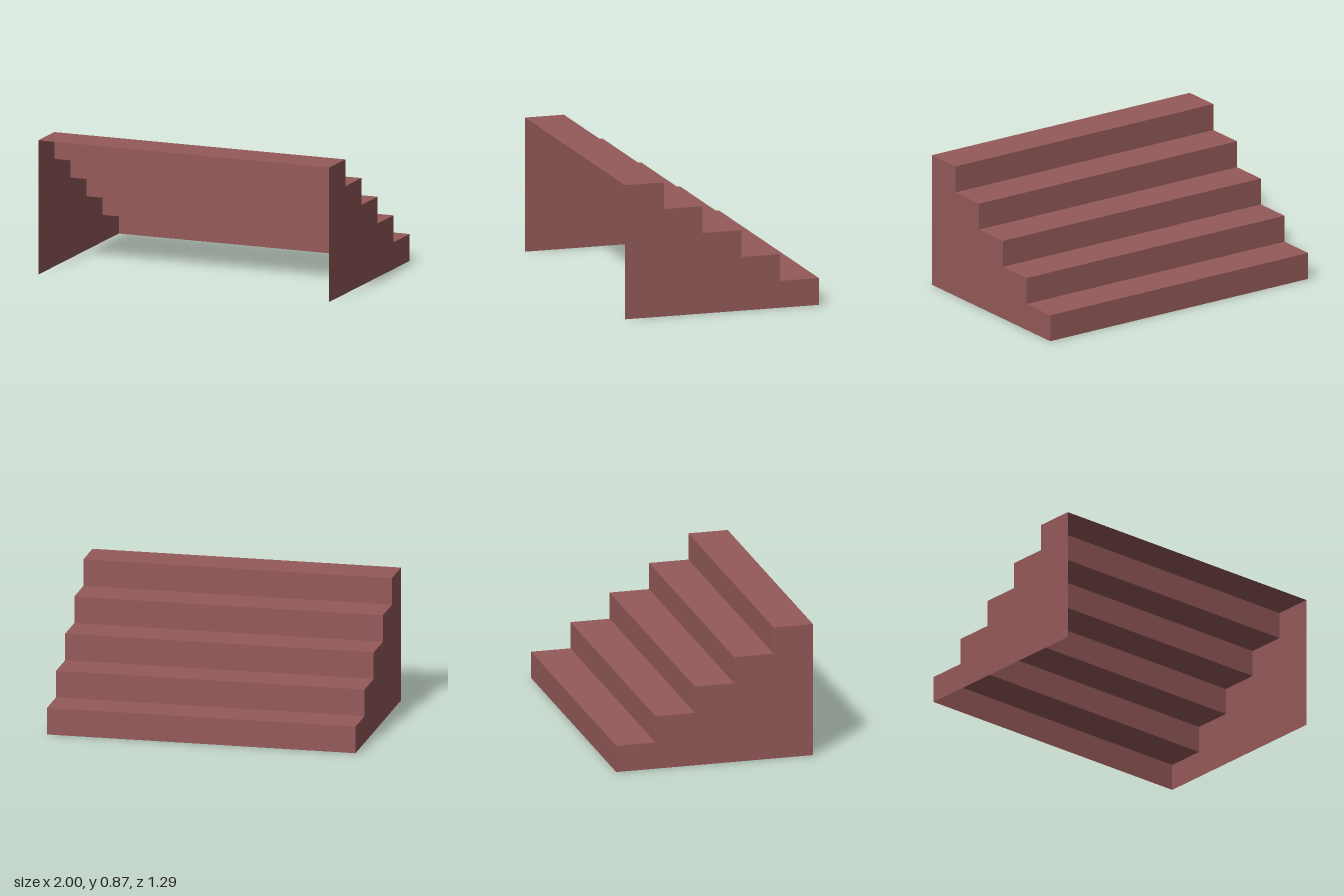
import * as THREE from 'three';

const STEPS = 5, WIDTH = 2, DEPTH = 1.29, HEIGHT = 0.87;
const RUN = DEPTH / STEPS, RISE = HEIGHT / STEPS;

export function createModel() {
  const group = new THREE.Group();
  group.name = 'staircase';
  const brick = new THREE.MeshStandardMaterial({ color: 0x965a5a, side: THREE.DoubleSide });
  brick.name = 'dusty red';

  const add = (name, geometry, x, y, z) => {
    const mesh = new THREE.Mesh(geometry, brick);
    mesh.name = name;
    mesh.position.set(x, y, z);
    group.add(mesh);
  };

  // Thin treads and risers, climbing from the back towards the front
  const tread = new THREE.PlaneGeometry(WIDTH, RUN).rotateX(-Math.PI / 2);
  const riser = new THREE.PlaneGeometry(WIDTH, RISE).rotateY(Math.PI);
  for (let i = 0; i < STEPS; i++) {
    const z = -DEPTH / 2 + i * RUN;
    add(`riser${i + 1}`, riser, 0, (i + 0.5) * RISE, z);
    add(`tread${i + 1}`, tread, 0, (i + 1) * RISE, z + RUN / 2);
  }

  // Stepped side panels; the underside and tall front stay open
  const outline = side => {
    const shape = new THREE.Shape();
    shape.moveTo(side * -DEPTH / 2, 0);
    for (let i = 0; i < STEPS; i++) {
      const z = -DEPTH / 2 + i * RUN;
      shape.lineTo(side * z, (i + 1) * RISE);
      shape.lineTo(side * (z + RUN), (i + 1) * RISE);
    }
    shape.lineTo(side * DEPTH / 2, 0);
    return new THREE.ShapeGeometry(shape).rotateY(-side * Math.PI / 2);
  };
  add('rightSidePanel', outline(1), -WIDTH / 2, 0, 0);
  add('leftSidePanel', outline(-1), WIDTH / 2, 0, 0);

  return group;
}
